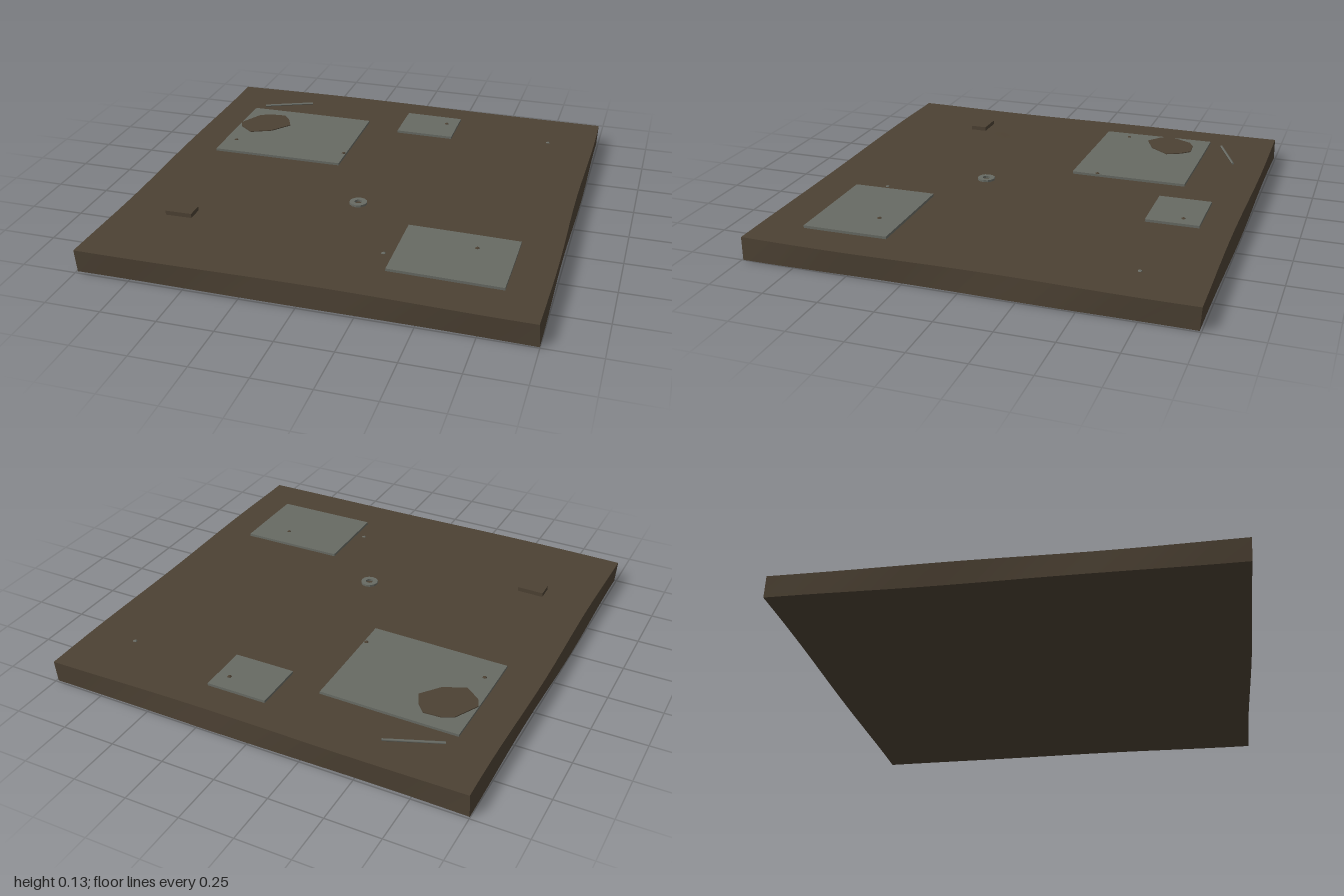
import * as THREE from 'three';

const TOP = 0.109;

// gentle sag and ripple shared by the slab and everything lying on it
const lift = (x, z) => 0.003 * Math.cos(2.6 * x) + 0.002 * Math.sin(3.1 * z + 2 * x);

function warp(geometry, edge = 0) {
  const p = geometry.attributes.position;
  for (let i = 0; i < p.count; i++) {
    const x = p.getX(i), y = p.getY(i), z = p.getZ(i);
    p.setXYZ(i,
      x + edge * Math.sin(5 * z + 3 * x + 20 * y),
      y + lift(x, z),
      z + edge * Math.sin(4 * x + 2 * z + 20 * y));
  }
  geometry.computeVertexNormals();
  return geometry;
}

export function createModel() {
  const model = new THREE.Group();
  const earth = new THREE.MeshStandardMaterial({ color: 0x4c4133 });
  earth.name = 'brown earth';
  const stone = new THREE.MeshStandardMaterial({ color: 0x676a63 });
  stone.name = 'grey stone';

  const add = (name, geometry, material, edge) => {
    const mesh = new THREE.Mesh(warp(geometry, edge), material);
    mesh.name = name;
    model.add(mesh);
    return mesh;
  };

  // ground slab with slightly uneven sides
  add('groundSlab', new THREE.BoxGeometry(1.99, 0.104, 1.99, 16, 1, 16)
    .translate(0, TOP - 0.052, 0), earth, 0.004);

  // paving plates: x range, z range
  const plates = [
    ['largePlate', -0.82, -0.175, -0.68, -0.13],
    ['smallPlate', 0, 0.285, -0.845, -0.602],
    ['frontPlate', 0.32, 0.82, 0.397, 0.79],
  ];
  for (const [name, x0, x1, z0, z1] of plates) {
    add(name, new THREE.BoxGeometry(x1 - x0, 0.018, z1 - z0, 10, 1, 10)
      .translate((x0 + x1) / 2, TOP + 0.003, (z0 + z1) / 2), stone, 0.002);
  }

  // irregular earth patch over the large plate
  const outline = [[-0.82, -0.47], [-0.76, -0.585], [-0.71, -0.61], [-0.63, -0.615],
    [-0.59, -0.57], [-0.56, -0.505], [-0.63, -0.415], [-0.73, -0.37], [-0.80, -0.425]];
  const patch = new THREE.Shape(outline.map(([x, z]) => new THREE.Vector2(x, -z)));
  add('earthPatch', new THREE.ExtrudeGeometry(patch, { depth: 0.006, bevelEnabled: false })
    .rotateX(-Math.PI / 2).translate(0, TOP + 0.01, 0), earth);

  // small brick
  add('brick', new THREE.BoxGeometry(0.125, 0.026, 0.078)
    .translate(-0.70, TOP + 0.007, 0.545), earth);

  // thin rod
  add('rod', new THREE.CylinderGeometry(0.006, 0.006, 0.26, 6)
    .rotateZ(Math.PI / 2).rotateY(0.4).translate(-0.67, TOP + 0.004, -0.795), stone);

  // washer ring
  const ring = new THREE.Shape().absarc(0, 0, 0.041, 0, Math.PI * 2);
  ring.holes.push(new THREE.Path().absarc(0, 0, 0.018, 0, Math.PI * 2, true));
  add('ring', new THREE.ExtrudeGeometry(ring, { depth: 0.012, bevelEnabled: false, curveSegments: 6 })
    .rotateX(-Math.PI / 2).translate(0.04, TOP - 0.002, 0.24), stone);

  // scattered pebbles
  const pebbles = [
    [0.77, TOP, -0.70, stone], [0.275, TOP, 0.65, stone],
    [0.225, TOP + 0.012, -0.76, earth], [0.65, TOP + 0.012, 0.51, earth],
    [-0.765, TOP + 0.012, -0.26, earth], [-0.185, TOP + 0.012, -0.25, earth],
  ];
  for (const [x, y, z, material] of pebbles) {
    add('pebble', new THREE.IcosahedronGeometry(0.011, 0).scale(1, 0.5, 1).translate(x, y, z), material);
  }

  return model;
}
